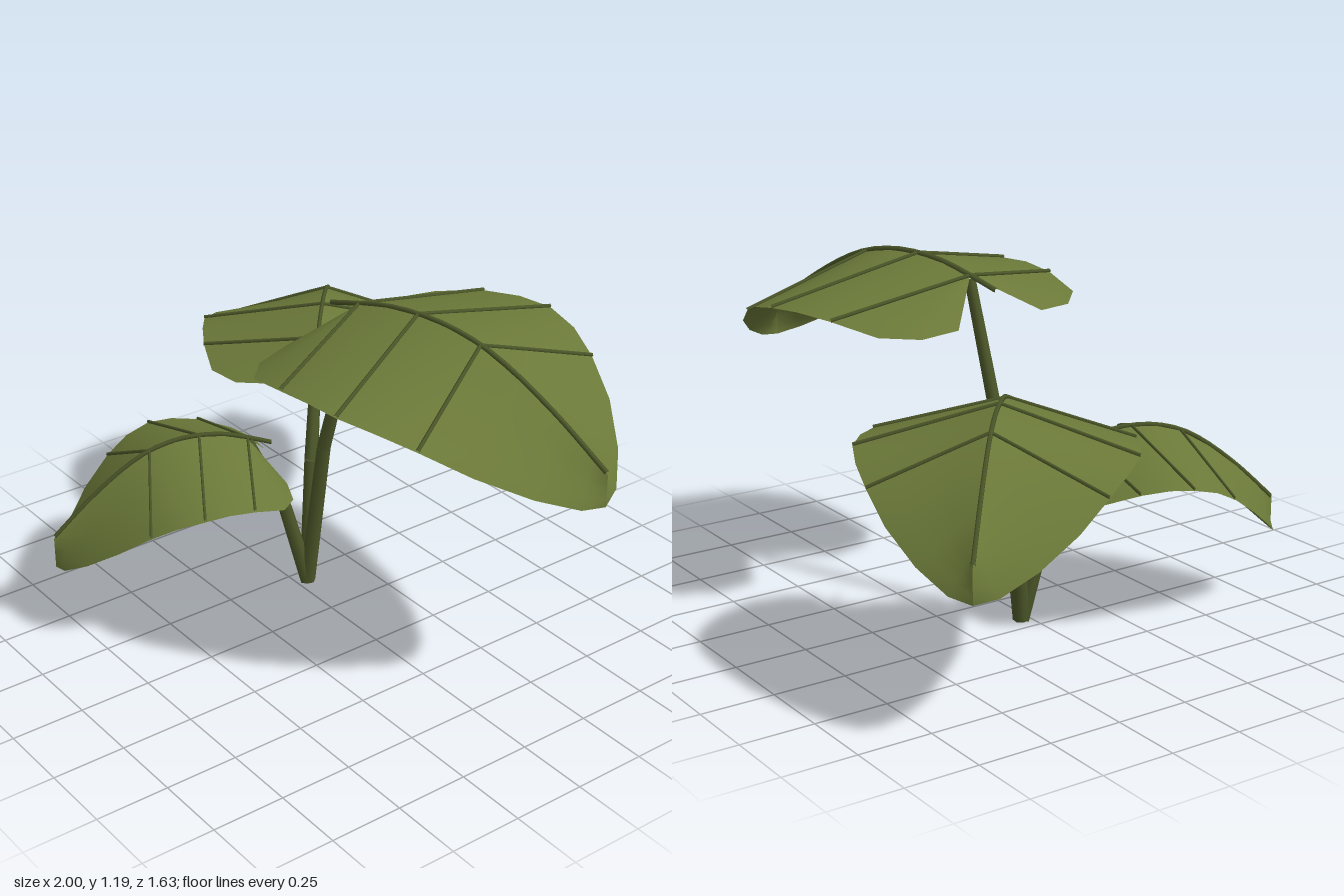
import * as THREE from 'three';

const leafMat = new THREE.MeshStandardMaterial({ color: 0x6a7838, side: THREE.DoubleSide });
const stemMat = new THREE.MeshStandardMaterial({ color: 0x4c5729 });

// Height of the arched midrib, as a function of distance along the leaf
const ARCH = [[-0.15, -0.04], [0, 0], [0.12, 0.027], [0.25, 0.038], [0.37, 0.033], [0.5, 0.008],
  [0.62, -0.038], [0.8, -0.135], [0.99, -0.26]];
function arch(u) {
  let i = 0;
  while (i < ARCH.length - 2 && u > ARCH[i + 1][0]) i++;
  const [a, b] = [ARCH[i], ARCH[i + 1]];
  return a[1] + (b[1] - a[1]) * (u - a[0]) / (b[0] - a[0]);
}

// Rows running from midrib to margin: [midrib u, margin u, margin v, margin drop]
const ROWS = [
  [0, -0.14, 0.19, 0.085], [0, -0.125, 0.335, 0.095], [0, -0.045, 0.446, 0.105],
  [0, 0.117, 0.5, 0.11], [0.12, 0.25, 0.523, 0.11], [0.245, 0.37, 0.53, 0.11],
  [0.37, 0.495, 0.495, 0.11], [0.495, 0.61, 0.437, 0.11], [0.65, 0.75, 0.345, 0.11],
  [0.8, 0.88, 0.215, 0.11], [0.92, 0.965, 0.09, 0.11], [0.99, 0.99, 0, 0.11],
];
const VEIN_ROWS = [3, 5, 7];
const ACROSS = 4;

// Point on a row, t = 0 at the midrib and 1 at the margin
function rowPoint([mid, edge, v, drop], t, side) {
  const u = mid + (edge - mid) * t;
  return new THREE.Vector3(u, arch(u) - drop * t, side * v * t);
}

// Tent-shaped blade: two halves creased along the midrib
function bladeGeometry() {
  const pos = [], index = [];
  for (const side of [1, -1]) {
    const start = pos.length / 3;
    for (const row of ROWS)
      for (let j = 0; j <= ACROSS; j++) pos.push(...rowPoint(row, j / ACROSS, side).toArray());
    for (let i = 0; i < ROWS.length - 1; i++)
      for (let j = 0; j < ACROSS; j++) {
        const a = start + i * (ACROSS + 1) + j, c = a + 1, b = a + ACROSS + 1, d = b + 1;
        if (side > 0) index.push(a, c, b, c, d, b);
        else index.push(a, b, c, c, b, d);
      }
  }
  const g = new THREE.BufferGeometry();
  g.setAttribute('position', new THREE.Float32BufferAttribute(pos, 3));
  g.setIndex(index);
  g.computeVertexNormals();
  return g;
}

function tube(points, radius, segments) {
  const lifted = points.map(p => p.clone().setY(p.y + 0.003));
  return new THREE.TubeGeometry(new THREE.CatmullRomCurve3(lifted), segments, radius, 5);
}

function named(name, geometry, material) {
  const m = new THREE.Mesh(geometry, material);
  m.name = name;
  return m;
}

const blade = bladeGeometry();

// Leaf with midrib and paired side veins, from its notch to its tip
function makeLeaf(name, notch, tipX, tipZ) {
  const leaf = new THREE.Group();
  leaf.name = name;
  leaf.add(named('blade', blade, leafMat));
  const rib = [-0.12, 0, 0.12, 0.25, 0.37, 0.5, 0.62, 0.8, 0.985]
    .map(u => new THREE.Vector3(u, arch(u), 0));
  leaf.add(named('midrib', tube(rib, 0.009, 18), stemMat));
  for (const side of [1, -1])
    for (const r of VEIN_ROWS) {
      const pts = [0, 0.25, 0.5, 0.75, 1].map(t => rowPoint(ROWS[r], t, side));
      leaf.add(named('sideVein', tube(pts, 0.007, 6), stemMat));
    }
  const dx = tipX - notch[0], dz = tipZ - notch[2];
  const s = Math.hypot(dx, dz) / 0.99;
  leaf.position.set(...notch);
  leaf.rotation.y = Math.atan2(-dz, dx);
  leaf.scale.set(s, 1, s);
  return leaf;
}

// Bent stem made of tapered sections
function makeStem(name, points) {
  const stem = new THREE.Group();
  stem.name = name;
  const radii = [0.028, 0.024, 0.019];
  for (let i = 0; i < points.length - 1; i++) {
    const a = new THREE.Vector3(...points[i]), b = new THREE.Vector3(...points[i + 1]);
    const dir = b.clone().sub(a);
    const part = named('stemSection',
      new THREE.CylinderGeometry(radii[i + 1], radii[i], dir.length(), 7), stemMat);
    part.position.copy(a).add(b).multiplyScalar(0.5);
    part.quaternion.setFromUnitVectors(new THREE.Vector3(0, 1, 0), dir.normalize());
    stem.add(part);
  }
  return stem;
}

export function createModel() {
  const plant = new THREE.Group();
  plant.name = 'plant';
  const base = [-0.19, 0.005, -0.038];
  // name, bend of the stem, notch of the leaf, tip x, tip z
  const parts = [
    ['tall', [-0.115, 0.56, -0.055], [0.03, 1.135, -0.09], 1.0, -0.28],
    ['back', [-0.235, 0.45, -0.09], [-0.35, 0.835, -0.205], -0.955, -0.74],
    ['front', [-0.22, 0.31, 0.035], [-0.255, 0.605, 0.16], -0.465, 0.805],
  ];
  for (const [name, bend, notch, tipX, tipZ] of parts) {
    plant.add(makeStem(name + 'Stem', [base, bend, [notch[0], notch[1] - 0.01, notch[2]]]));
    plant.add(makeLeaf(name + 'Leaf', notch, tipX, tipZ));
  }
  return plant;
}
